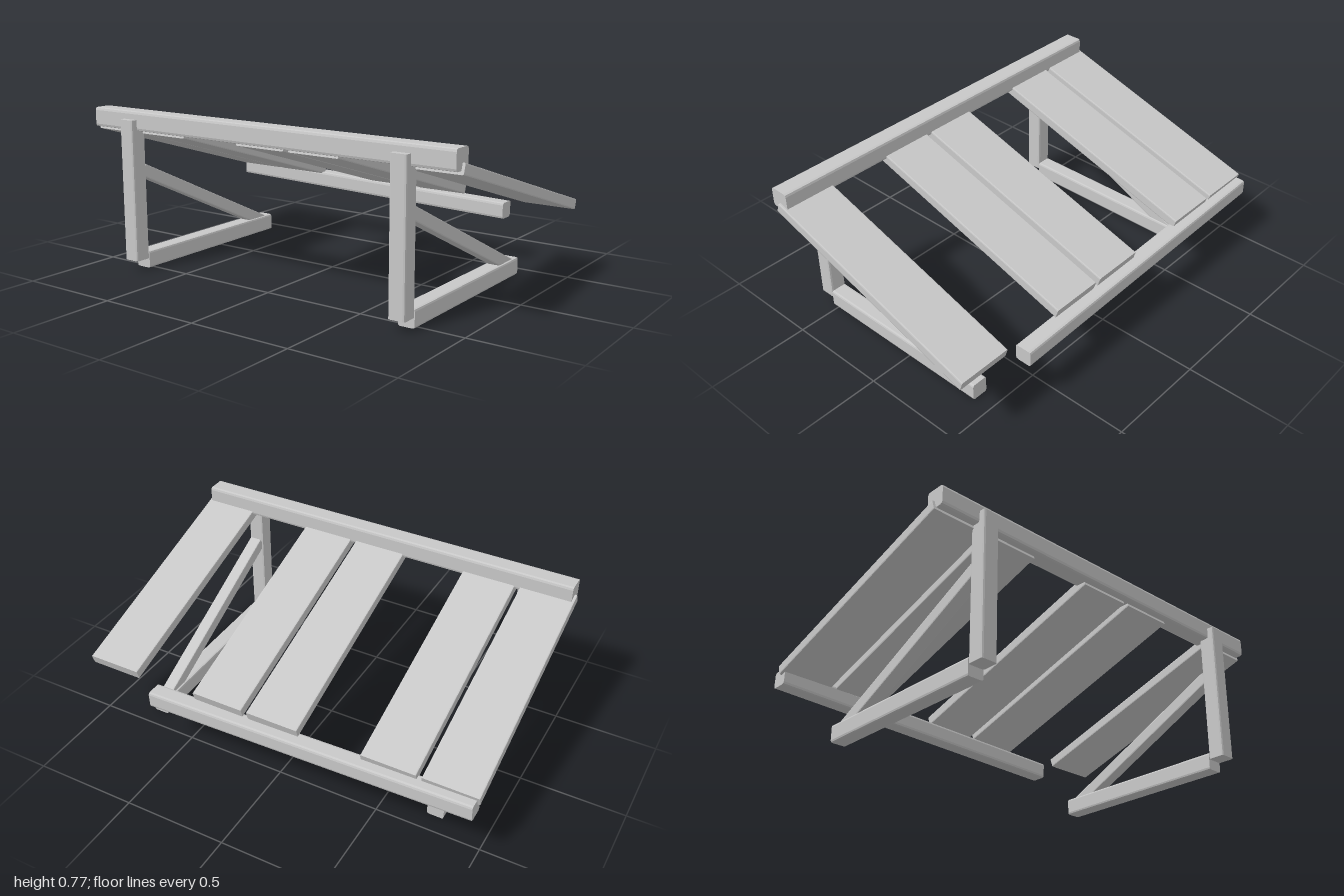
import * as THREE from 'three';

const paleGrey = new THREE.MeshStandardMaterial({ color: 0xc8c8c8 });
paleGrey.name = 'paleGrey';

// Rectangular section with slightly eased corners
function section(w, h, r) {
  const x = w / 2, y = h / 2;
  const s = new THREE.Shape();
  s.moveTo(-x + r, -y);
  s.lineTo(x - r, -y);
  s.quadraticCurveTo(x, -y, x, -y + r);
  s.lineTo(x, y - r);
  s.quadraticCurveTo(x, y, x - r, y);
  s.lineTo(-x + r, y);
  s.quadraticCurveTo(-x, y, -x, y - r);
  s.lineTo(-x, -y + r);
  s.quadraticCurveTo(-x, -y, -x + r, -y);
  return s;
}

// Timber of width w and height h running between two points
function timber(name, w, h, from, to, r = 0.01) {
  const a = new THREE.Vector3(...from), b = new THREE.Vector3(...to);
  const geometry = new THREE.ExtrudeGeometry(section(w, h, r), {
    depth: a.distanceTo(b), bevelEnabled: false, curveSegments: 2,
  });
  const mesh = new THREE.Mesh(geometry, paleGrey);
  mesh.name = name;
  mesh.position.copy(a);
  mesh.lookAt(b);
  return mesh;
}

export function createModel() {
  const model = new THREE.Group();
  model.name = 'slattedRack';

  // Two triangular supports: upright, foot and diagonal brace
  for (const [side, x] of [['right', -0.75], ['left', 0.745]]) {
    const support = new THREE.Group();
    support.name = side + 'Support';
    support.add(
      timber('upright', 0.08, 0.08, [x, 0.05, 0.57], [x, 0.73, 0.57]),
      timber('foot', 0.08, 0.083, [x, 0.042, 0.53], [x, 0.042, -0.41]),
      timber('brace', 0.062, 0.06, [x, 0.484, 0.533], [x, 0.06, -0.35], 0.006),
    );
    model.add(support);
  }

  // High front beam and the shorter, slightly sagging rear beam
  model.add(
    timber('frontBeam', 0.095, 0.092, [-0.985, 0.723, 0.533], [0.985, 0.723, 0.533], 0.013),
    timber('rearBeam', 0.082, 0.08, [-0.985, 0.307, -0.569], [0.64, 0.264, -0.569], 0.012),
  );

  // Sloping planks, with gaps where some are missing
  const planks = [[-0.998, -0.735], [-0.71, -0.447], [-0.133, 0.128], [0.155, 0.416], [0.732, 0.998]];
  for (const [x0, x1] of planks) {
    const x = (x0 + x1) / 2;
    model.add(timber('plank', x1 - x0, 0.049, [x, 0.686, 0.538], [x, 0.342, -0.561], 0.006));
  }
  return model;
}
